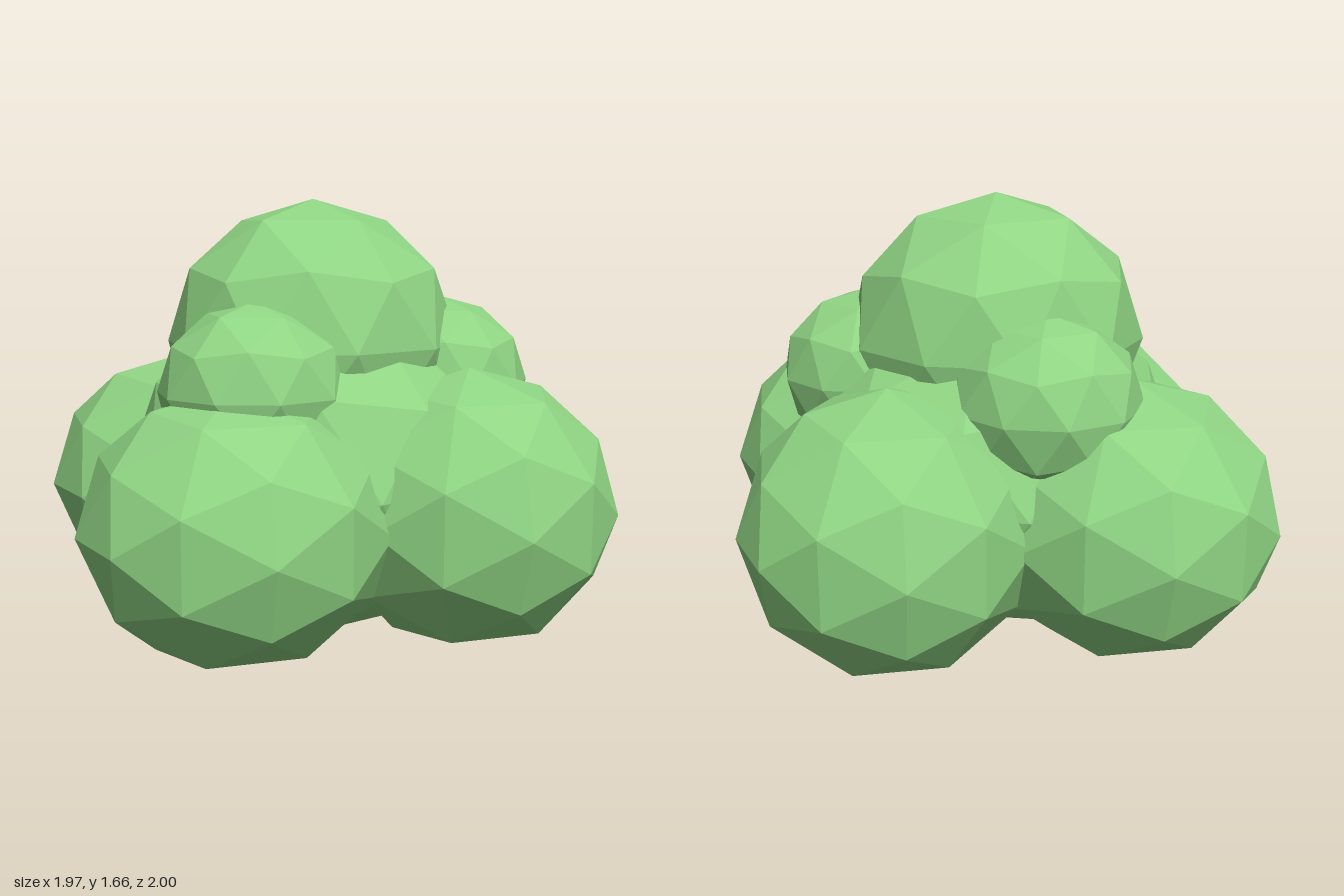
import * as THREE from 'three';

const leafGreen = new THREE.MeshStandardMaterial({ color: 0x8fd483, flatShading: true });
leafGreen.name = 'leaf green';

// Faceted ball; "pole" turns it so that five-sided corners sit at top and bottom
function facetedBall(pole) {
  const geo = new THREE.IcosahedronGeometry(1, 1);
  if (pole) geo.rotateZ(Math.atan(2 / (1 + Math.sqrt(5)))).rotateY(Math.PI);
  return geo;
}

export function createModel() {
  const bush = new THREE.Group();
  bush.name = 'bush';
  const plain = facetedBall(false);
  const poled = facetedBall(true);

  const addClump = (name, geo, centre, radii) => {
    const mesh = new THREE.Mesh(geo, leafGreen);
    mesh.name = name;
    mesh.position.set(...centre);
    mesh.scale.set(...radii);
    bush.add(mesh);
  };

  // Core and crown
  addClump('core', poled, [0, 0.65, 0], [0.74, 0.65, 0.74]);
  addClump('crown', poled, [-0.02, 1.13, 0], [0.56, 0.535, 0.54]);

  // Four large lobes around the base
  addClump('frontLeftLobe', plain, [0.44, 0.545, 0.435], [0.545, 0.515, 0.54]);
  addClump('frontRightLobe', plain, [-0.43, 0.535, 0.44], [0.555, 0.49, 0.56]);
  addClump('backLeftLobe', plain, [0.44, 0.54, -0.435], [0.54, 0.52, 0.54]);
  addClump('backRightLobe', plain, [-0.43, 0.535, -0.44], [0.555, 0.515, 0.56]);

  // Three small tufts below the crown
  addClump('frontTuft', poled, [-0.33, 0.99, 0.33], [0.35, 0.32, 0.34]);
  addClump('leftTuft', poled, [0.45, 0.98, 0.12], [0.34, 0.32, 0.34]);
  addClump('backTuft', poled, [-0.12, 0.98, -0.44], [0.35, 0.32, 0.34]);

  return bush;
}
